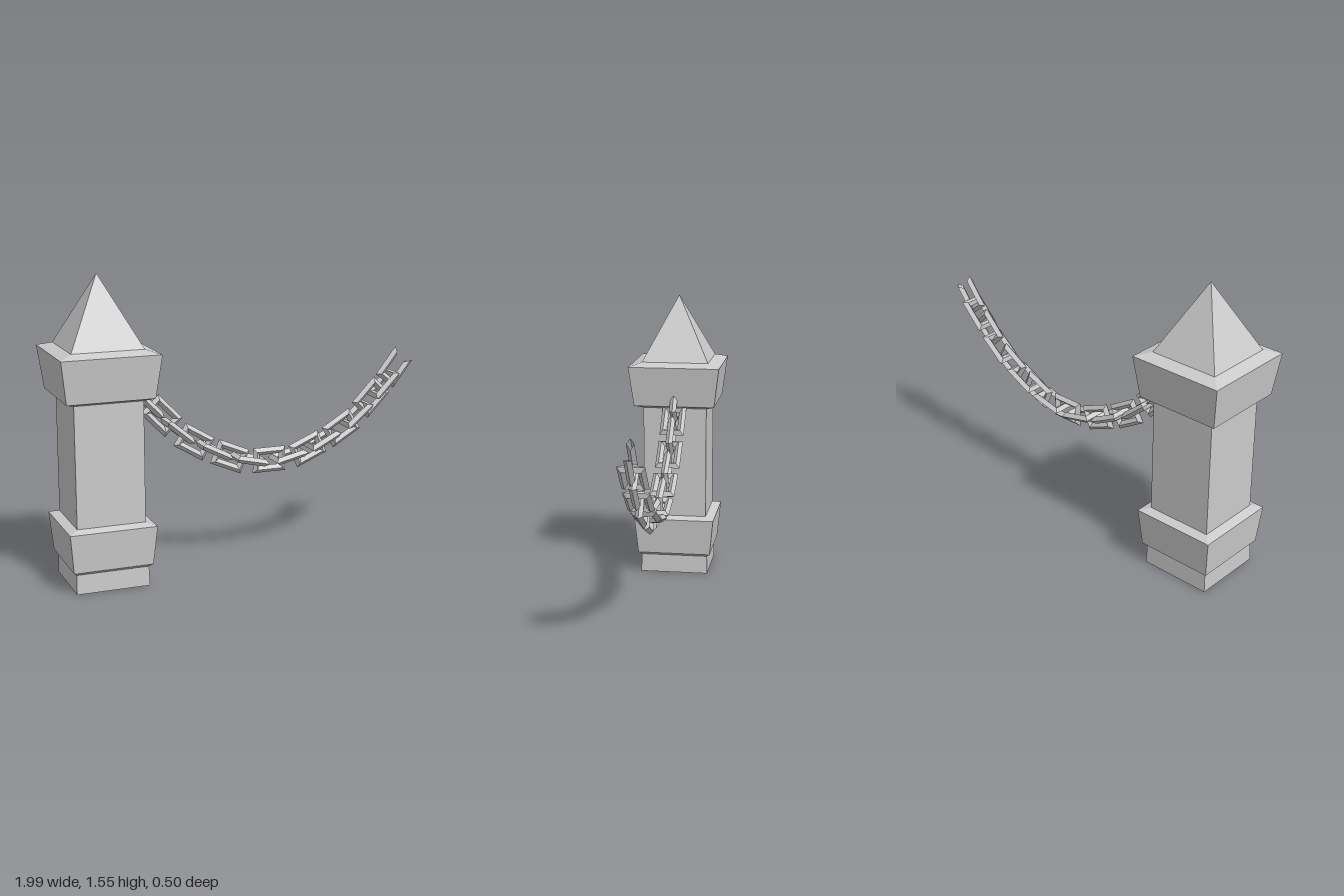
import * as THREE from 'three';

const material = new THREE.MeshStandardMaterial({ color: 0xcccccc, flatShading: true, side: THREE.DoubleSide });

// Rectangular chain link with a diamond section and mitred corners; open links lack the +x end.
function linkGeometry(open) {
  const halfLength = 0.0725, halfWidth = 0.0475, r = 0.019;
  const corners = [[1, 1], [-1, 1], [-1, -1], [1, -1]];
  const section = [[r, 0], [0, r], [-r, 0], [0, -r]];
  const positions = [], index = [];
  for (const [sx, sy] of corners)
    for (const [out, z] of section)
      positions.push(sx * (halfLength + out), sy * (halfWidth + out), z);
  for (let j = 0; j < (open ? 3 : 4); j++) {
    for (let k = 0; k < 4; k++) {
      const n = (j + 1) % 4, m = (k + 1) % 4;
      const a = j * 4 + k, b = n * 4 + k, c = n * 4 + m, d = j * 4 + m;
      index.push(a, b, c, a, c, d);
    }
  }
  const indexed = new THREE.BufferGeometry();
  indexed.setAttribute('position', new THREE.Float32BufferAttribute(positions, 3));
  indexed.setIndex(index);
  const geometry = indexed.toNonIndexed();
  geometry.computeVertexNormals();
  return geometry;
}

// Square stone piece from [half width, height] points
function squarePiece(name, profile) {
  const points = profile.map(([w, y]) => new THREE.Vector2(w * Math.SQRT2, y));
  const geometry = new THREE.LatheGeometry(points, 4, Math.PI / 4).toNonIndexed();
  geometry.computeVertexNormals();
  const mesh = new THREE.Mesh(geometry, material);
  mesh.name = name;
  return mesh;
}

export function createModel() {
  const model = new THREE.Group();
  model.name = 'chainPost';

  // Hollow post, open underneath
  const post = new THREE.Group();
  post.name = 'post';
  post.position.x = -0.75;
  post.add(
    squarePiece('base', [[0.188, 0], [0.185, 0.1]]),
    squarePiece('lowerCollar', [[0.185, 0.1], [0.203, 0.115], [0.222, 0.315], [0.175, 0.33]]),
    squarePiece('shaft', [[0.175, 0.33], [0.175, 0.945]]),
    squarePiece('cap', [[0.175, 0.945], [0.222, 0.962], [0.25, 1.18], [0.183, 1.2]]),
    squarePiece('spire', [[0.183, 1.2], [0, 1.555]]),
  );
  model.add(post);

  // Hanging chain: [distance from lowest point, height, slope in degrees]
  const chain = new THREE.Group();
  chain.name = 'chain';
  chain.position.x = 0.16;
  const links = [
    [0, 0.535, 0], [0.11, 0.547, 13], [0.22, 0.572, 23], [0.307, 0.615, 27],
    [0.415, 0.668, 31], [0.503, 0.735, 40], [0.588, 0.82, 46], [0.66, 0.888, 46],
    [0.725, 0.975, 52],
  ];
  const upright = linkGeometry(false);
  const flat = linkGeometry(false).rotateX(Math.PI / 2);
  const end = linkGeometry(true);
  links.forEach(([distance, height, slope], i) => {
    const geometry = i === links.length - 1 ? end : i % 2 ? flat : upright;
    for (const side of i === 0 ? [1] : [1, -1]) {
      const link = new THREE.Mesh(geometry, material);
      const angle = THREE.MathUtils.degToRad(slope);
      link.name = geometry === end ? 'openEndLink' : 'chainLink';
      link.position.set(side * distance, height, 0);
      link.rotation.z = side > 0 ? angle : Math.PI - angle;
      chain.add(link);
    }
  });
  model.add(chain);
  return model;
}
